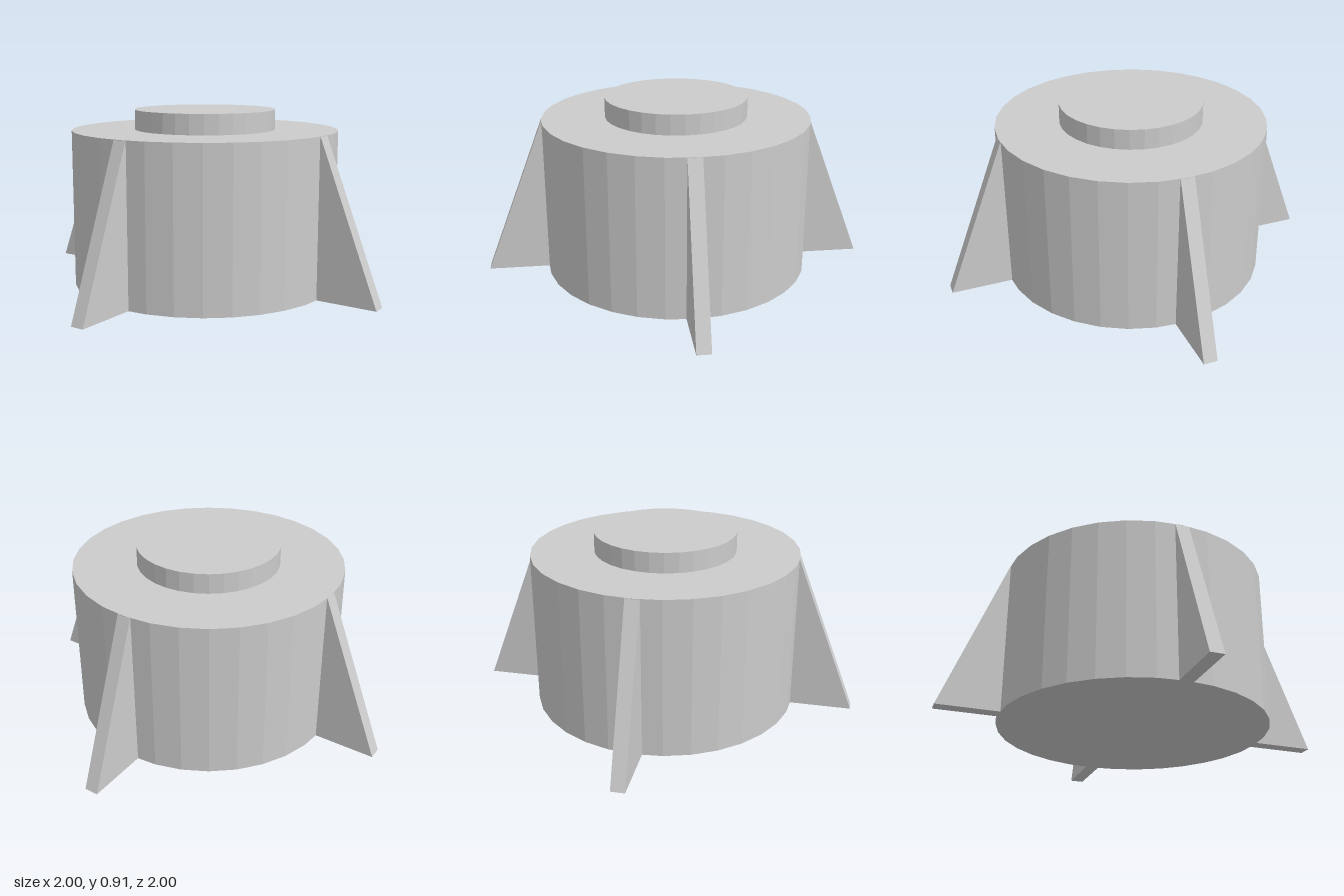
import * as THREE from 'three';

const R = 0.69, H = 0.806, HUB_R = 0.366, TOP = 0.909, FIN_W = 0.07;

export function createModel() {
  const group = new THREE.Group();
  const material = new THREE.MeshStandardMaterial({ color: 0xcccccc, flatShading: true });

  const add = (name, geometry) => {
    const mesh = new THREE.Mesh(geometry, material);
    mesh.name = name;
    group.add(mesh);
    return mesh;
  };

  // Faceted drum and the low raised disc on top of it
  add('drum', new THREE.CylinderGeometry(R, R, H, 32)).position.y = H / 2;
  add('topDisc', new THREE.CylinderGeometry(HUB_R, HUB_R, TOP - H, 32)).position.y = (H + TOP) / 2;

  // Four triangular fins, their inner edge sunk slightly into the drum
  const profile = new THREE.Shape([
    new THREE.Vector2(0.68, 0),
    new THREE.Vector2(1, 0),
    new THREE.Vector2(R - 0.001, H - 0.002),
    new THREE.Vector2(0.68, H - 0.002),
  ]);
  const finGeometry = new THREE.ExtrudeGeometry(profile, { depth: FIN_W, bevelEnabled: false });
  finGeometry.translate(0, 0, -FIN_W / 2);
  ['leftFin', 'backFin', 'rightFin', 'frontFin'].forEach((name, i) => {
    add(name, finGeometry).rotation.y = (i * Math.PI) / 2;
  });

  return group;
}
